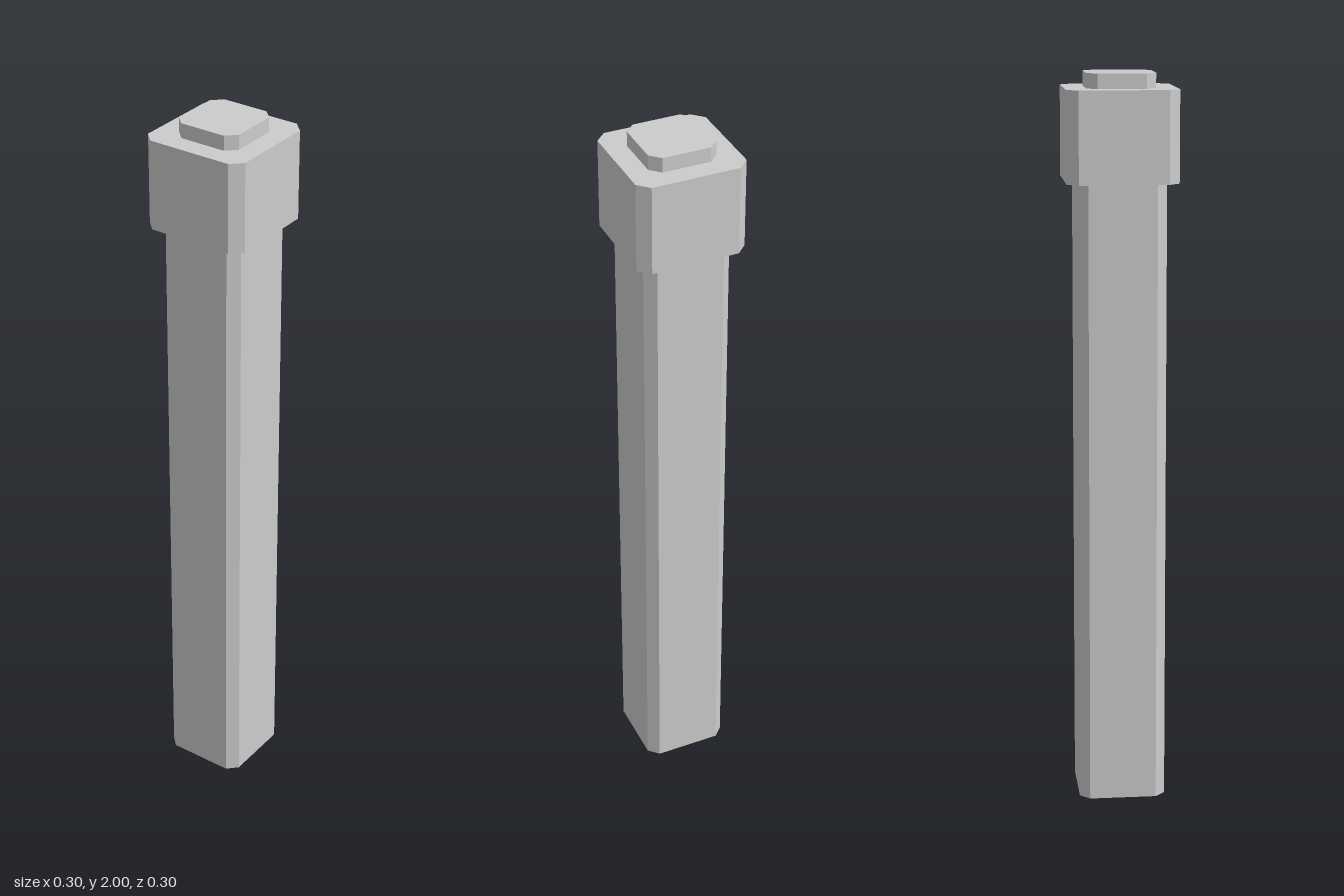
import * as THREE from 'three';

const stone = new THREE.MeshStandardMaterial({ color: 0xcccccc });
stone.name = 'light grey';

// Square prism with chamfered vertical edges, standing from y0 to y1
function chamferedBlock(name, half, chamfer, y0, y1) {
  const inner = half - chamfer;
  const shape = new THREE.Shape([
    [inner, -half], [half, -inner], [half, inner], [inner, half],
    [-inner, half], [-half, inner], [-half, -inner], [-inner, -half],
  ].map(([x, y]) => new THREE.Vector2(x, y)));
  const geometry = new THREE.ExtrudeGeometry(shape, { depth: y1 - y0, bevelEnabled: false });
  geometry.rotateX(-Math.PI / 2);
  geometry.translate(0, y0, 0);
  const mesh = new THREE.Mesh(geometry, stone);
  mesh.name = name;
  return mesh;
}

export function createModel() {
  const post = new THREE.Group();
  post.name = 'post';
  post.add(
    chamferedBlock('shaft', 0.119, 0.027, 0, 1.715),
    chamferedBlock('capital', 0.149, 0.03, 1.715, 1.96),
    chamferedBlock('topPlate', 0.092, 0.027, 1.96, 2),
  );
  return post;
}
